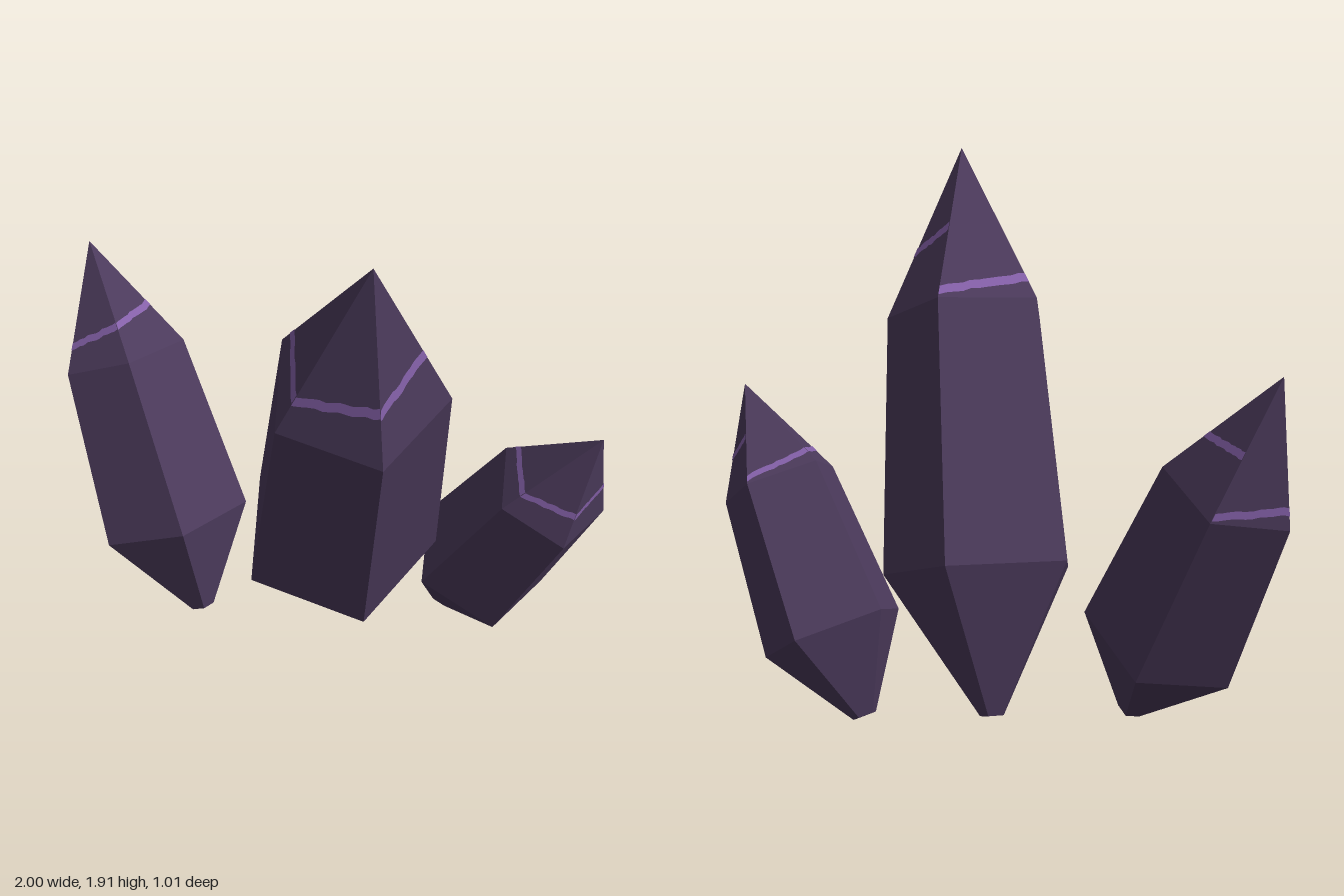
import * as THREE from 'three';

const SIDES = 5;

// small seeded generator for the ragged edge of the veins
function seeded(seed) {
  let s = seed;
  return () => (s = (s * 16807) % 2147483647) / 2147483647;
}

function facets(triangles) {
  const g = new THREE.BufferGeometry().setFromPoints(triangles);
  g.computeVertexNormals(); // unshared corners give flat facets
  return g;
}

// five-sided crystal from base to tip, with a vein spiralling around its point
function crystal(name, base, tip, lowerR, upperR, footR, materials, seed) {
  const axis = tip.clone().sub(base).normalize();
  const u = new THREE.Vector3(0, 0, -1).projectOnPlane(axis).normalize();
  const ring = (f, r) => {
    const c = base.clone().lerp(tip, f);
    return Array.from({ length: SIDES }, (_, i) =>
      u.clone().applyAxisAngle(axis, (i / SIDES) * Math.PI * 2).multiplyScalar(r).add(c));
  };
  const foot = ring(0, footR), lower = ring(0.25, lowerR), upper = ring(0.7, upperR);

  // body: cap, flaring foot, shaft and point
  const body = [];
  for (let i = 0; i < SIDES; i++) {
    const j = (i + 1) % SIDES;
    body.push(base, foot[j], foot[i]);
    for (const [a, b] of [[foot, lower], [lower, upper]]) {
      body.push(a[i], a[j], b[j], a[i], b[j], b[i]);
    }
    body.push(upper[i], upper[j], tip);
  }

  // vein: one thin ragged strip on each face of the point
  const vein = [];
  const rand = seeded(seed);
  const steps = 12;
  for (let i = 0; i < SIDES; i++) {
    const a = upper[i], b = upper[(i + 1) % SIDES];
    const lift = b.clone().sub(a).cross(tip.clone().sub(a)).normalize().multiplyScalar(0.002);
    const at = (s, t) => a.clone().lerp(b, s).lerp(tip, t).add(lift);
    const row = Array.from({ length: steps + 1 }, (_, k) => {
      const s = k / steps;
      const t = 0.05 + 0.082 * (i + s) + (rand() - 0.5) * 0.014;
      return [at(s, t - 0.027), at(s, t + 0.027)];
    });
    for (let k = 0; k < steps; k++) {
      const [p, q] = row[k], [r, s] = row[k + 1];
      vein.push(p, r, s, p, s, q);
    }
  }

  const group = new THREE.Group();
  group.name = name;
  const bodyMesh = new THREE.Mesh(facets(body), materials.stone);
  bodyMesh.name = 'crystalBody';
  const veinMesh = new THREE.Mesh(facets(vein), materials.vein);
  veinMesh.name = 'crystalVein';
  group.add(bodyMesh, veinMesh);
  return group;
}

export function createModel() {
  const stone = new THREE.MeshStandardMaterial({ color: 0x4b3a5b });
  stone.name = 'dark purple stone';
  const vein = new THREE.MeshStandardMaterial({ color: 0x8460a8 });
  vein.name = 'bright purple vein';
  const materials = { stone, vein };
  const v = (x, y, z) => new THREE.Vector3(x, y, z);

  const model = new THREE.Group();
  model.name = 'crystalCluster';
  model.add(
    crystal('centreCrystal', v(0.01, 0.017, -0.17), v(0.345, 1.91, 0.47), 0.357, 0.298, 0.045, materials, 11),
    crystal('rightCrystal', v(-0.425, 0.02, 0.03), v(-0.97, 1.3, -0.36), 0.28, 0.23, 0.043, materials, 23),
    crystal('leftCrystal', v(0.425, 0.021, -0.318), v(0.98, 1.1, -0.05), 0.26, 0.21, 0.043, materials, 37),
  );
  return model;
}
